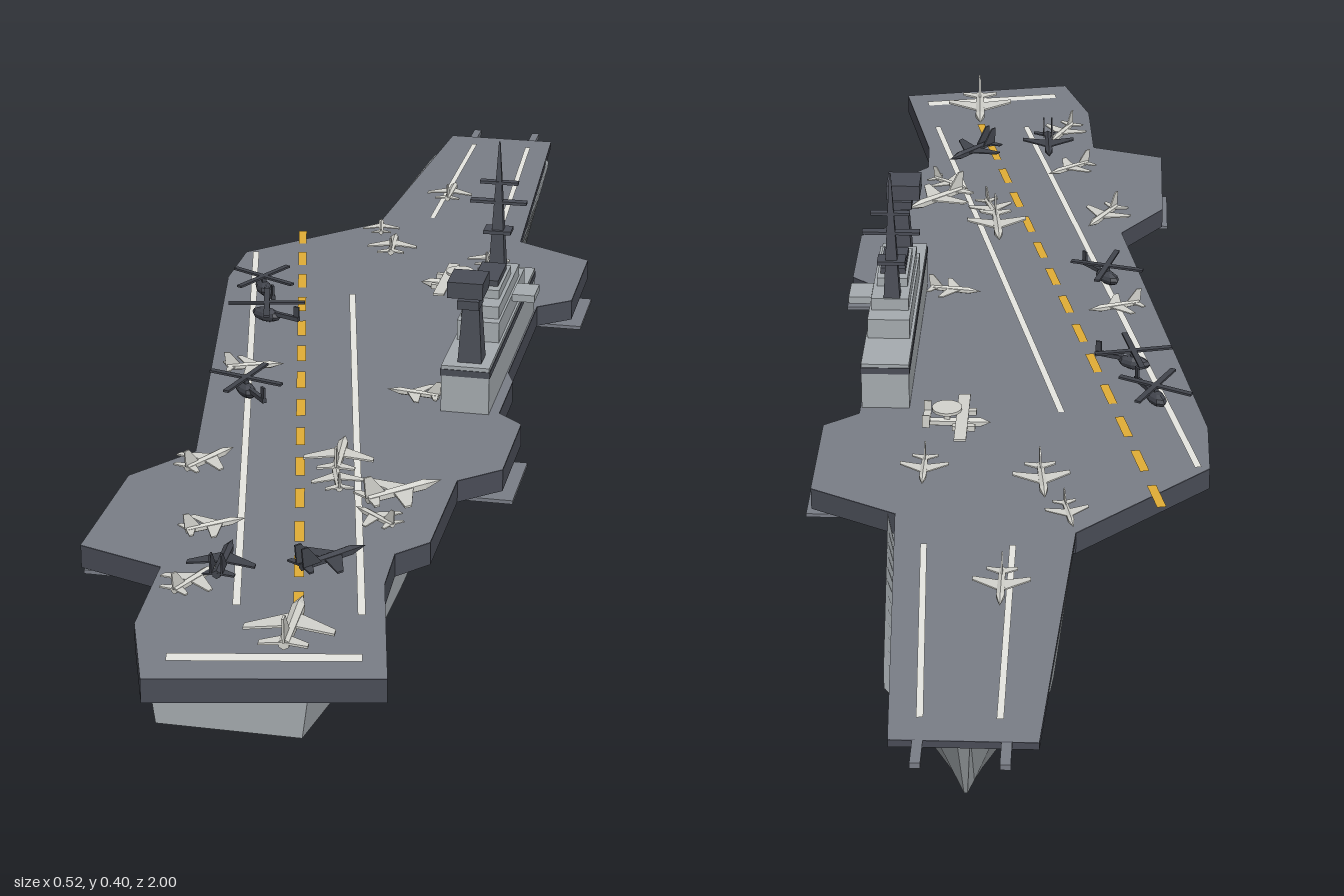
import * as THREE from 'three';

const mat = (name, color, side = THREE.FrontSide) =>
  Object.assign(new THREE.MeshStandardMaterial({ color, side }), { name });

export function createModel() {
  const root = new THREE.Group();
  root.name = 'aircraftCarrier';
  const M = {
    hull: mat('hull grey', 0xa6acb0, THREE.DoubleSide), island: mat('island grey', 0xa6acb0),
    deck: mat('deck grey', 0x7a7e87), edge: mat('deck edge', 0x4a4d57),
    steel: mat('mast steel', 0x4b4e57), dark: mat('aircraft dark grey', 0x42454d),
    white: mat('marking white', 0xebebe6), yellow: mat('marking yellow', 0xe2ae36),
    jet: mat('aircraft light grey', 0xd4d4ce),
  };
  const DECK = 0.11;

  const add = (name, geo, material, parent = root) => {
    const g = geo.index ? geo.toNonIndexed() : geo;
    g.computeVertexNormals();
    const m = new THREE.Mesh(g, material);
    m.name = name;
    parent.add(m);
    return m;
  };
  // box from min/max corners
  const box = (name, x0, x1, y0, y1, z0, z1, material, parent) => {
    const m = add(name, new THREE.BoxGeometry(x1 - x0, y1 - y0, z1 - z0), material, parent);
    m.position.set((x0 + x1) / 2, (y0 + y1) / 2, (z0 + z1) / 2);
    return m;
  };
  // flat plan outline [x, z] raised to a slab
  const plan = (pts) => new THREE.Shape(pts.map(([x, z]) => new THREE.Vector2(x, -z)));
  const slab = (pts, y, h) => new THREE.ExtrudeGeometry(plan(pts), { depth: h, bevelEnabled: false })
    .rotateX(-Math.PI / 2).translate(0, y, 0);
  // painted line on the deck
  const stripe = (name, x0, z0, x1, z1, w, material) => {
    const geo = new THREE.PlaneGeometry(w, Math.hypot(x1 - x0, z1 - z0)).rotateX(-Math.PI / 2);
    const m = add(name, geo, material);
    m.position.set((x0 + x1) / 2, DECK + 0.0015, (z0 + z1) / 2);
    m.rotation.y = Math.atan2(x1 - x0, z1 - z0);
  };

  // Hull: open shell lofted through stations, flared to a raked stem
  const cx = 0.027, lerp = THREE.MathUtils.lerp;
  const station = (z, topY) => {
    const aft = Math.max(0, (z - 0.5) / 0.4), fore = Math.max(0, (-0.15 - z) / 0.795);
    let top = z < -0.46 ? lerp(0.12, 0.096, Math.min(1, (-0.46 - z) / 0.39)) : 0.12 - 0.024 * aft ** 2;
    if (z < -0.85) top = lerp(0.096, 0.008, ((-0.85 - z) / 0.095) ** 1.3);
    const low = Math.max(0.002, 0.12 * (1 - fore ** 1.9) - 0.035 * aft ** 2);
    const zb = z + 0.045 * fore ** 3;
    return [[cx + top, topY, z], [cx + low, 0, zb], [cx - low, 0, zb], [cx - top, topY, z]];
  };
  const rings = [0.9, 0.8, 0.7, 0.6, 0.5, 0.2, -0.15, -0.25, -0.35, -0.46].map((z) => station(z, 0.082));
  for (let i = 0; i <= 16; i++) rings.push(station(lerp(-0.46, -0.945, i / 16), 0.109));
  const tris = [];
  const quad = (a, b, c, d) => tris.push(...a, ...b, ...c, ...a, ...c, ...d);
  for (let i = 0; i < rings.length - 1; i++) {
    const p = rings[i], q = rings[i + 1];
    quad(p[0], p[1], q[1], q[0]);
    quad(p[2], p[3], q[3], q[2]);
  }
  const s = rings[0], e = rings[rings.length - 1];
  quad(s[0], s[3], s[2], s[1]);
  quad(e[0], e[1], e[2], e[3]);
  add('hull', new THREE.BufferGeometry().setAttribute('position', new THREE.Float32BufferAttribute(tris, 3)), M.hull);
  box('sternOpening', -0.065, 0.119, 0.057, 0.08, 0.896, 0.902, M.edge);

  // Flight deck: thick angled main part and a thin bow part
  const main = [
    [-0.09, -0.5], [0.138, -0.46], [0.25, -0.4], [0.25, -0.23], [0.205, -0.195], [0.205, 0.06], [0.216, 0.09],
    [0.216, 0.2], [0.25, 0.23], [0.25, 0.375], [0.2, 0.42], [0.2, 0.6], [0.165, 0.64], [0.169, 0.72], [0.218, 0.943],
    [-0.045, 0.998], [-0.087, 0.875], [-0.097, 0.73], [-0.206, 0.693], [-0.206, 0.49],
    [-0.143, 0.4], [-0.26, -0.22], [-0.26, -0.33],
  ];
  const bow = [[-0.058, -0.957], [0.11, -0.957], [0.138, -0.46], [-0.09, -0.5]];
  add('deckSlab', slab(main, 0.08, 0.029), M.edge);
  add('bowSlab', slab(bow, 0.1, 0.009), M.edge);
  for (const [n, pts] of [['deckSurface', main], ['bowSurface', bow]])
    add(n, new THREE.ShapeGeometry(plan(pts)).rotateX(-Math.PI / 2).translate(0, DECK, 0), M.deck);
  for (const x of [-0.022, 0.077]) box('bowBoom', x - 0.006, x + 0.006, 0.102, 0.109, -1, -0.94, M.deck);

  // Lowered side lifts and hangar doors
  for (const [x0, x1, z0, z1, door] of [
    [0.145, 0.26, -0.375, -0.26, 0.147], [0.145, 0.26, 0.235, 0.355, 0.147], [-0.215, -0.095, 0.54, 0.656, -0.093],
  ]) {
    box('sideLift', x0, x1, 0.053, 0.058, z0, z1, M.deck);
    box('hangarDoor', door - 0.003, door + 0.003, 0.057, 0.08, z0, z1, M.edge);
  }

  // Deck markings
  stripe('landingLine', -0.245, -0.33, 0.015, 0.81, 0.009, M.white);
  stripe('landingLine', -0.065, -0.185, 0.16, 0.805, 0.009, M.white);
  stripe('sternBar', -0.03, 0.947, 0.182, 0.905, 0.018, M.white);
  stripe('launchTrack', -0.013, -0.915, -0.013, -0.535, 0.008, M.white);
  stripe('launchTrack', 0.077, -0.915, 0.097, -0.535, 0.008, M.white);
  const dashes = 14;
  for (let i = 0; i < dashes; i++) {
    const at = (t) => [-0.197 + 0.295 * t, -0.435 + 1.29 * t];
    stripe('centreDash', ...at(i / dashes), ...at((i + 0.6) / dashes), 0.012, M.yellow);
  }

  // Island
  const island = new THREE.Group();
  island.name = 'island';
  root.add(island);
  box('islandBase', 0.139, 0.203, 0.11, 0.175, -0.178, 0.208, M.island, island);
  box('windowBand', 0.138, 0.204, 0.161, 0.17, -0.179, 0.209, M.steel, island);
  box('bridge', 0.143, 0.2, 0.175, 0.203, -0.1, 0.115, M.island, island);
  box('upperBridge', 0.146, 0.197, 0.203, 0.22, -0.07, 0.1, M.island, island);
  box('topHouse', 0.15, 0.192, 0.22, 0.232, -0.03, 0.07, M.island, island);
  box('roof', 0.154, 0.188, 0.232, 0.24, -0.015, 0.055, M.steel, island);
  box('sidePlatform', 0.2, 0.231, 0.195, 0.205, -0.035, 0.01, M.island, island);
  // tapered four-sided posts
  const post = (name, x, z, y0, y1, r0, r1) =>
    add(name, new THREE.CylinderGeometry(r1 * Math.SQRT2, r0 * Math.SQRT2, y1 - y0, 4).rotateY(Math.PI / 4),
      M.steel, island).position.set(x, (y0 + y1) / 2, z);
  post('radarTower', 0.174, 0.177, 0.175, 0.27, 0.016, 0.01);
  box('radarHead', 0.145, 0.192, 0.268, 0.29, 0.152, 0.203, M.steel, island);
  box('radarCollar', 0.157, 0.186, 0.25, 0.262, 0.159, 0.195, M.steel, island);
  post('mainMast', 0.169, -0.057, 0.203, 0.4, 0.012, 0.001);
  box('yardArm', 0.13, 0.208, 0.312, 0.316, -0.063, -0.051, M.steel, island);
  box('yardArm', 0.143, 0.196, 0.34, 0.344, -0.062, -0.052, M.steel, island);
  box('mastPlatform', 0.15, 0.188, 0.27, 0.275, -0.07, -0.044, M.steel, island);

  // Aircraft, modelled with the nose to -z; placed by x, z, turn and scale
  const craft = (name, x, z, turn, scale) => {
    const g = new THREE.Group();
    g.name = name;
    g.position.set(x, DECK, z);
    g.rotation.y = turn;
    g.scale.setScalar(scale);
    root.add(g);
    return g;
  };
  const fuselage = (g, m, r, z0, z1, nose) => {
    add('body', new THREE.CylinderGeometry(r, r * 0.8, z1 - z0, 6).rotateX(-Math.PI / 2), m, g)
      .position.set(0, 0.01, (z0 + z1) / 2);
    add('nose', new THREE.ConeGeometry(r, nose, 6).rotateX(-Math.PI / 2), m, g).position.set(0, 0.01, z0 - nose / 2);
  };
  // upright tail fin as a thin raked plate
  const fin = (g, x, m) => {
    const shape = new THREE.Shape([[-0.018, 0.012], [-0.036, 0.034], [-0.044, 0.034], [-0.042, 0.012]]
      .map(([a, b]) => new THREE.Vector2(a, b)).reverse());
    add('fin', new THREE.ExtrudeGeometry(shape, { depth: 0.002, bevelEnabled: false }).rotateY(Math.PI / 2), m, g)
      .position.x = x - 0.001;
  };
  const jet = (x, z, turn, scale, m, fins) => {
    const g = craft('jet', x, z, turn, scale);
    fuselage(g, m, 0.006, -0.025, 0.04, 0.022);
    add('wings', slab([[0, -0.014], [0.037, 0.012], [0.037, 0.02], [0.006, 0.012],
      [-0.006, 0.012], [-0.037, 0.02], [-0.037, 0.012]], 0.01, 0.002), m, g);
    add('tailplane', slab([[0, 0.026], [0.02, 0.038], [0.02, 0.044], [0, 0.04],
      [-0.02, 0.044], [-0.02, 0.038]], 0.01, 0.002), m, g);
    for (const fx of fins) fin(g, fx, m);
  };
  for (const [x, z, turn, scale] of [
    [-0.003, -0.645, 0, 0.95], [-0.08, -0.465, 0.2, 0.75], [-0.045, -0.385, 0.1, 1], [0.108, -0.36, 0, 0.85],
    [-0.135, 0.127, -1.2, 0.9], [0.098, 0.175, 1.4, 0.85], [-0.115, 0.44, -0.5, 1], [0.045, 0.395, 0.1, 1.2],
    [0.055, 0.46, 0.3, 0.9], [0.143, 0.49, -0.8, 1.25], [0.125, 0.56, 0.9, 0.8], [-0.06, 0.625, -0.9, 0.9],
    [-0.045, 0.77, -0.4, 0.95], [0.093, 0.86, 0.05, 1.4],
  ]) jet(x, z, turn, scale, M.jet, [0]);
  jet(-0.024, 0.715, 0.05, 1.1, M.dark, [-0.006, 0.006]);
  jet(0.098, 0.685, -0.7, 1.1, M.dark, [-0.006, 0.006]);

  // Helicopters
  for (const [x, z, turn] of [[-0.188, -0.153, 0.5], [-0.156, -0.053, 1.2], [-0.119, 0.222, 0.7]]) {
    const g = craft('helicopter', x, z, turn, 1);
    add('cabin', new THREE.SphereGeometry(1, 8, 6).scale(0.011, 0.01, 0.024), M.dark, g).position.set(0, 0.012, -0.006);
    box('tailBoom', -0.003, 0.003, 0.013, 0.019, 0.01, 0.05, M.dark, g);
    box('tailFin', -0.0015, 0.0015, 0.013, 0.034, 0.042, 0.05, M.dark, g);
    box('rotorHub', -0.003, 0.003, 0.02, 0.03, -0.008, -0.002, M.dark, g);
    for (const a of [0.6, 0.6 + Math.PI / 2])
      box('rotorBlades', -0.054, 0.054, 0.028, 0.031, -0.009, -0.001, M.dark, g).rotation.y = a;
  }

  // Radar plane with twin engines and a round dish
  const p = craft('radarPlane', 0.071, -0.233, Math.PI / 2, 1);
  fuselage(p, M.jet, 0.007, -0.03, 0.045, 0.014);
  box('wings', -0.064, 0.064, 0.015, 0.018, -0.014, 0.002, M.jet, p);
  box('tailplane', -0.022, 0.022, 0.014, 0.016, 0.036, 0.046, M.jet, p);
  add('dish', new THREE.CylinderGeometry(0.02, 0.02, 0.004, 16), M.jet, p).position.set(0, 0.03, 0.014);
  box('dishPost', -0.003, 0.003, 0.015, 0.029, 0.01, 0.018, M.jet, p);
  for (const sx of [-1, 1]) {
    box('engine', sx * 0.022 - 0.004, sx * 0.022 + 0.004, 0.01, 0.017, -0.024, 0.006, M.jet, p);
    box('fin', sx * 0.021 - 0.001, sx * 0.021 + 0.001, 0.012, 0.03, 0.036, 0.046, M.jet, p);
  }
  return root;
}
